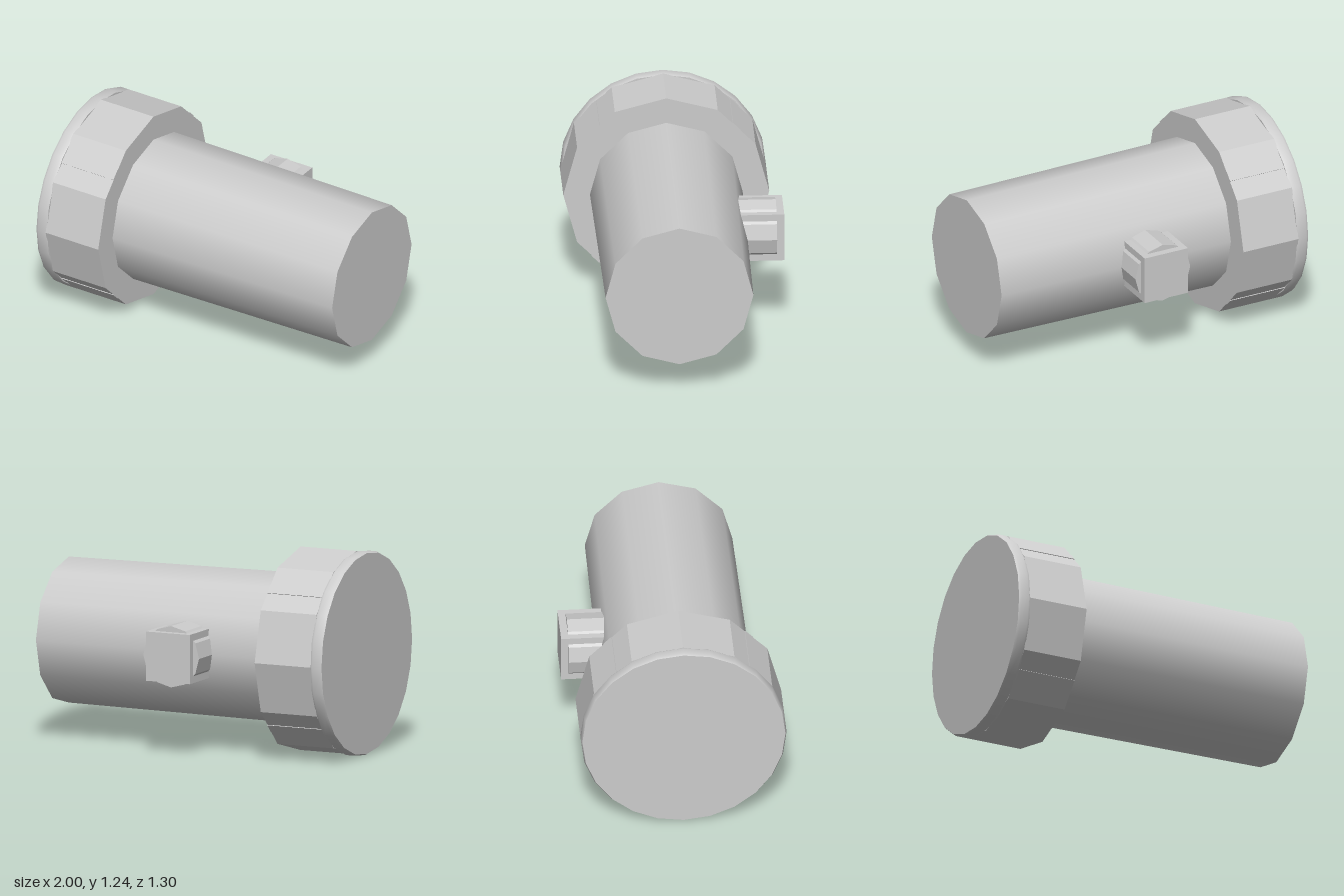
import * as THREE from 'three';

export function createModel() {
  const group = new THREE.Group();
  const grey = new THREE.MeshStandardMaterial({ color: 0xcccccc });
  grey.name = 'light grey';

  // The main axis runs along x at this height and depth
  const axis = new THREE.Group();
  axis.name = 'plug';
  axis.position.set(0, 0.62, 0.03);
  group.add(axis);

  function add(name, geometry) {
    const mesh = new THREE.Mesh(geometry, grey);
    mesh.name = name;
    axis.add(mesh);
    return mesh;
  }

  // Round bar along x, from x0 to x1
  function bar(r0, r1, x0, x1, sides) {
    return new THREE.CylinderGeometry(r1, r0, x1 - x0, sides)
      .rotateZ(-Math.PI / 2).translate((x0 + x1) / 2, 0, 0);
  }

  // Flat shading through split corners
  function faceted(geometry) {
    const flat = geometry.toNonIndexed();
    flat.computeVertexNormals();
    return flat;
  }

  // Tapered smooth body and faceted head
  add('body', bar(0.46, 0.445, -0.6, 1, 12));
  add('head', faceted(bar(0.62, 0.62, -0.93, -0.555, 12)));

  // Softly rounded lip with flat end caps
  const profile = [[0.612, -1], [0.62, -0.985], [0.62, -0.94], [0.612, -0.925]]
    .map(([r, x]) => new THREE.Vector2(r, x));
  add('lip', new THREE.LatheGeometry(profile, 24).rotateZ(-Math.PI / 2));
  for (const [x, side] of [[-1, -1], [-0.925, 1]]) {
    add('lipCap', new THREE.CircleGeometry(0.612, 24)
      .rotateY(side * Math.PI / 2).translate(x, 0, 0));
  }

  // Four thin raised strips on the diagonal facets of the head
  for (let i = 0; i < 4; i++) {
    add('headStrip', new THREE.BoxGeometry(0.37, 0.008, 0.066)
      .translate(-0.74, 0.599, 0)
      .rotateX(Math.PI / 4 + i * Math.PI / 2));
  }

  // Rear stud: square block with a twelve-sided collar through it
  add('studBlock', new THREE.BoxGeometry(0.295, 0.3, 0.375)
    .translate(0, 0, -0.4875));
  add('studCollar', faceted(new THREE.CylinderGeometry(0.187, 0.187, 0.33, 12)
    .rotateY(Math.PI / 2).rotateX(Math.PI / 2).translate(0, 0, -0.465)));

  return group;
}
